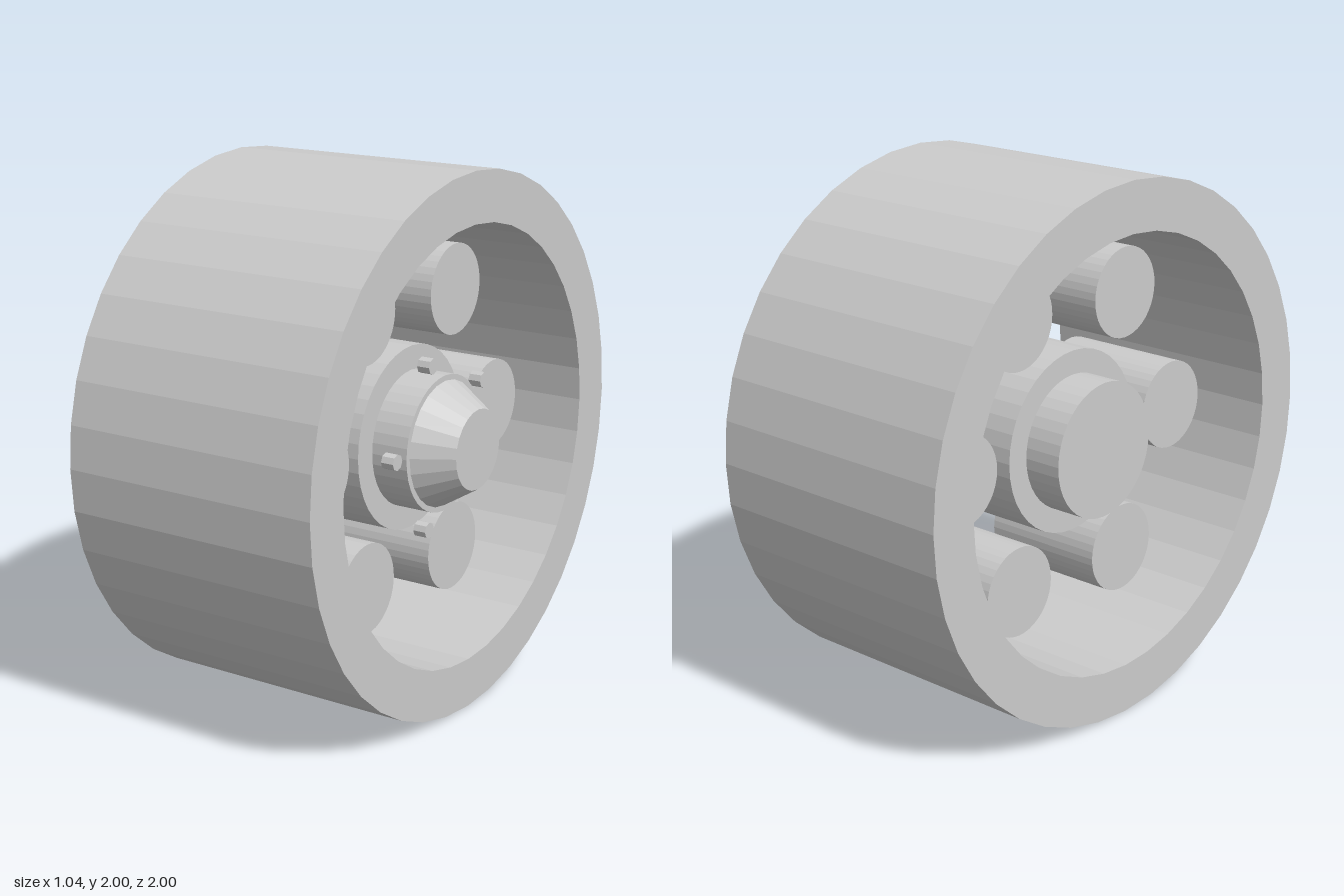
import * as THREE from 'three';

const material = new THREE.MeshStandardMaterial({ color: 0xcccccc, flatShading: true });

// Closed turned part, profile as [radius, x] pairs from the -x end to the +x end
function turned(name, profile, sides) {
  const points = profile.map(([r, x]) => new THREE.Vector2(r, x));
  const mesh = new THREE.Mesh(new THREE.LatheGeometry(points, sides), material);
  mesh.name = name;
  mesh.rotation.z = -Math.PI / 2; // lathe axis onto +x
  return mesh;
}

// Solid round bar between two x positions
const bar = (name, r, x0, x1, sides) =>
  turned(name, [[0, x0], [r, x0], [r, x1], [0, x1]], sides);

// Ring of equal bars around the axle, angle measured from +z towards +y
function barRing(name, count, startDeg, ringRadius, r, x0, x1, sides) {
  const group = new THREE.Group();
  group.name = name + 's';
  for (let i = 0; i < count; i++) {
    const a = THREE.MathUtils.degToRad(startDeg + (i * 360) / count);
    const mesh = bar(name, r, x0, x1, sides);
    mesh.position.set(0, ringRadius * Math.sin(a), ringRadius * Math.cos(a));
    group.add(mesh);
  }
  return group;
}

export function createModel() {
  const model = new THREE.Group();
  model.name = 'wheel';
  const wheel = new THREE.Group();
  wheel.name = 'wheelAssembly';
  wheel.position.y = 1;
  model.add(wheel);

  // Wide outer rim, open through the middle
  wheel.add(turned('rim', [
    [0.812, -0.525], [1, -0.525], [1, 0.495], [0.812, 0.495], [0.812, -0.525],
  ], 40));

  // Six rollers around the core
  wheel.add(barRing('roller', 6, 0, 0.58, 0.172, -0.26, 0.24, 40));

  // Core, the hub passing through it, and the tapered cap
  wheel.add(bar('core', 0.345, -0.26, 0.235, 40));
  wheel.add(bar('hub', 0.255, -0.41, 0.38, 40));
  wheel.add(turned('hubCap', [[0, 0.37], [0.235, 0.37], [0.235, 0.38], [0.15, 0.52], [0, 0.52]], 24));

  // Five small bolts around the hub
  wheel.add(barRing('bolt', 5, 1.5, 0.32, 0.03, 0.335, 0.385, 8));

  return model;
}
